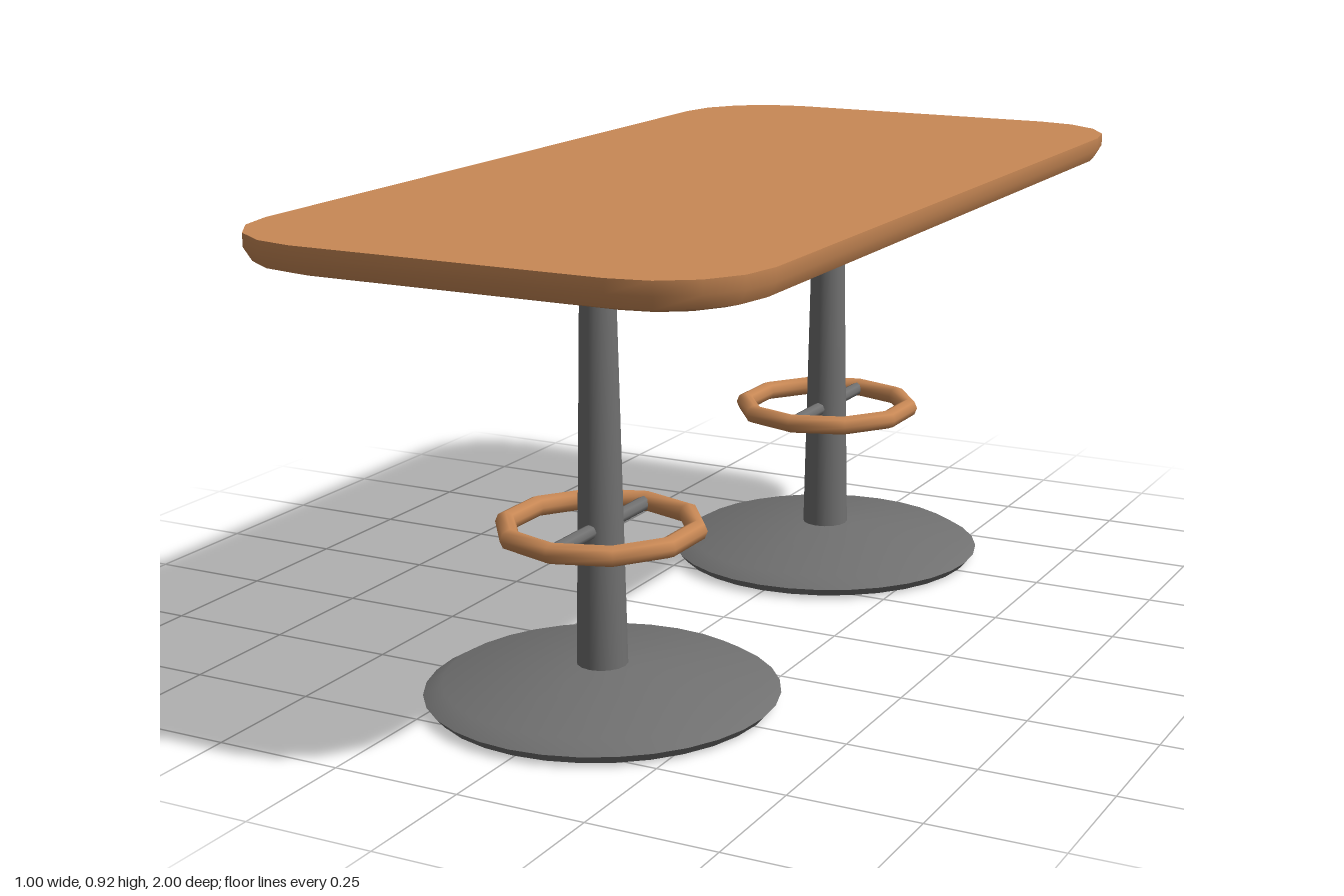
import * as THREE from 'three';
import { toCreasedNormals } from 'three/addons/utils/BufferGeometryUtils.js';

const wood = new THREE.MeshStandardMaterial({ color: 0xc88855 });
const metal = new THREE.MeshStandardMaterial({ color: 0x707070 });

function part(name, geometry, material, parent, y = 0) {
  const mesh = new THREE.Mesh(geometry, material);
  mesh.name = name;
  mesh.position.y = y;
  parent.add(mesh);
  return mesh;
}

// Rounded rectangle outline, inset evenly from the table edge
function outline(inset) {
  const points = [];
  const steps = 4, radius = 0.2;
  [[1, 1], [-1, 1], [-1, -1], [1, -1]].forEach(([sx, sz], corner) => {
    for (let i = 0; i <= steps; i++) {
      const a = (corner + i / steps) * Math.PI / 2;
      const r = radius - inset;
      points.push([sx * 0.3 + r * Math.cos(a), sz * 0.8 + r * Math.sin(a)]);
    }
  });
  return points;
}

// Table top: stacked outlines with a chamfered lower edge, closed by fans
function tableTopGeometry() {
  const layers = [[0.05, 0.86], [0.015, 0.87], [0, 0.895], [0, 0.92]];
  const positions = [], index = [];
  const n = outline(0).length;
  for (const [inset, y] of layers) {
    for (const [x, z] of outline(inset)) positions.push(x, y, z);
  }
  for (let l = 0; l < layers.length - 1; l++) {
    for (let i = 0; i < n; i++) {
      const a = l * n + i, b = l * n + (i + 1) % n;
      index.push(a, a + n, b, b, a + n, b + n);
    }
  }
  const bottom = positions.length / 3, top = bottom + 1;
  positions.push(0, 0.86, 0, 0, 0.92, 0);
  const last = (layers.length - 1) * n;
  for (let i = 0; i < n; i++) {
    const j = (i + 1) % n;
    index.push(bottom, i, j, top, last + j, last + i);
  }
  const geometry = new THREE.BufferGeometry();
  geometry.setAttribute('position', new THREE.Float32BufferAttribute(positions, 3));
  geometry.setIndex(index);
  return toCreasedNormals(geometry, 0.7);
}

// One pedestal: disc foot, tapered column and foot ring on a crossbar
function pedestal(name, z) {
  const group = new THREE.Group();
  group.name = name;
  group.position.z = z;

  const profile = [[0, 0.003], [0.32, 0.003], [0.335, 0.02], [0.3, 0.04], [0.045, 0.071], [0, 0.071]]
    .map(([r, y]) => new THREE.Vector2(r, y));
  part('base', toCreasedNormals(new THREE.LatheGeometry(profile, 32), 0.5), metal, group);

  part('column', new THREE.CylinderGeometry(0.032, 0.05, 0.865, 16), metal, group, 0.4325);

  const ring = new THREE.TorusGeometry(0.18, 0.02, 8, 10);
  ring.rotateZ(Math.PI / 2).rotateX(Math.PI / 2);
  part('footRing', ring, wood, group, 0.336);

  const bar = new THREE.CylinderGeometry(0.014, 0.014, 0.36, 8).rotateX(Math.PI / 2);
  part('footRingBar', bar, metal, group, 0.336);
  return group;
}

export function createModel() {
  const model = new THREE.Group();
  model.name = 'pedestalTable';
  part('tableTop', tableTopGeometry(), wood, model);
  model.add(pedestal('frontPedestal', 0.5), pedestal('backPedestal', -0.5));
  return model;
}
